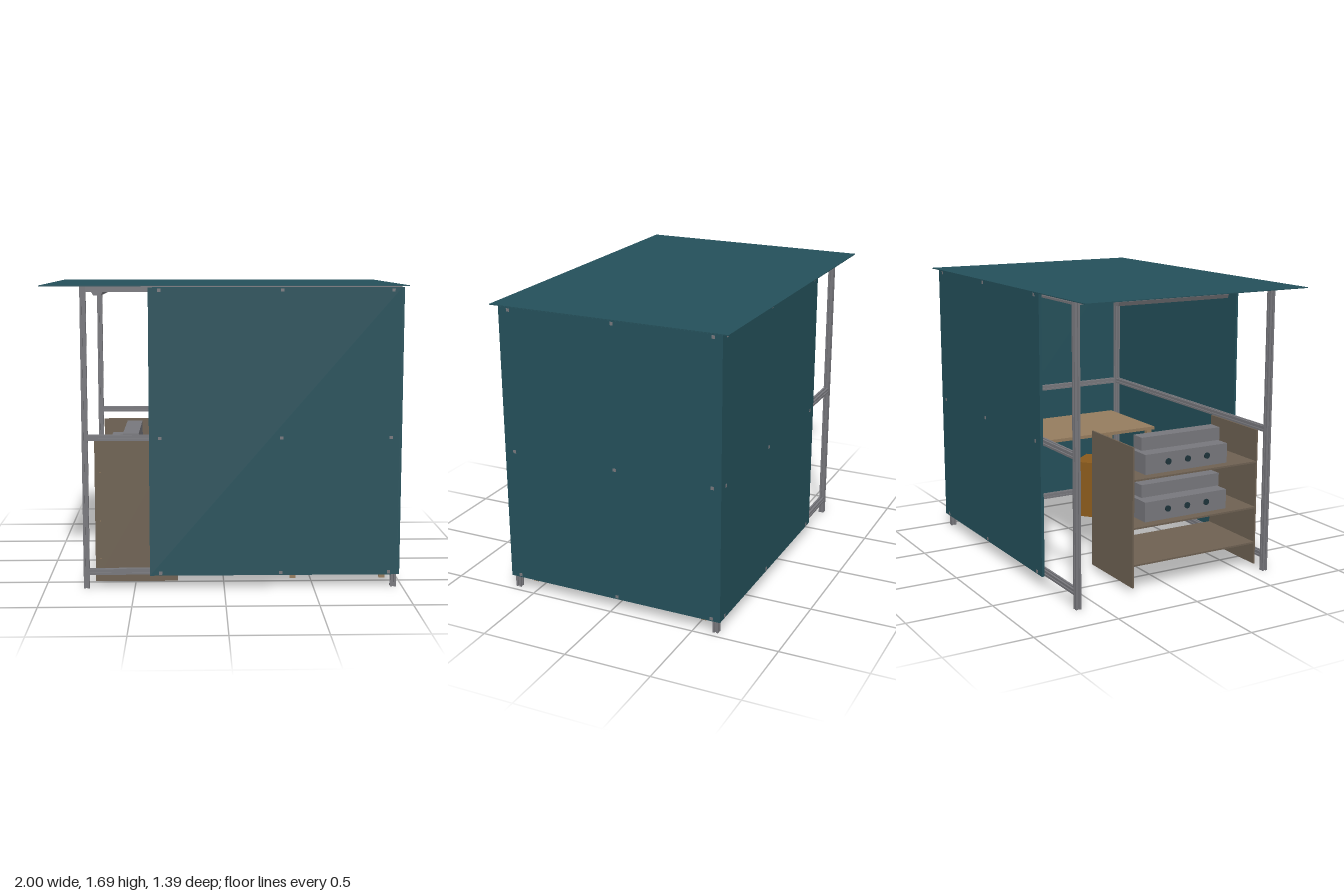
import * as THREE from 'three';

const mat = (name, color, side = THREE.FrontSide) => {
  const m = new THREE.MeshStandardMaterial({ color, side });
  m.name = name;
  return m;
};

export function createModel() {
  const teal = mat('teal panel', 0x24505a);
  const metal = mat('frame grey', 0x77777c);
  const board = mat('cabinet brown', 0x6e6152);
  const wood = mat('table wood', 0x957c5e);
  const amber = mat('bin amber', 0x8a5a1c);
  const dark = mat('knob dark', 0x1d333a);
  const root = new THREE.Group();

  const group = (name, parent = root) => {
    const g = new THREE.Group();
    g.name = name;
    parent.add(g);
    return g;
  };
  const add = (name, geo, material, parent) => {
    const m = new THREE.Mesh(geo, material);
    m.name = name;
    parent.add(m);
    return m;
  };
  // Box given by its limits on each axis
  const box = (name, material, parent, x0, x1, y0, y1, z0, z1) => {
    const m = add(name, new THREE.BoxGeometry(x1 - x0, y1 - y0, z1 - z0), material, parent);
    m.position.set((x0 + x1) / 2, (y0 + y1) / 2, (z0 + z1) / 2);
    return m;
  };

  // Slotted square bar, extruded along z from its centre
  const W = 0.032, h = W / 2, s = 0.004, d = 0.008;
  const barShape = new THREE.Shape();
  const side = [[-h, -h], [-s, -h], [-s, -h + d], [s, -h + d], [s, -h]];
  const outline = [];
  for (let k = 0; k < 4; k++) {
    const c = Math.round(Math.cos(k * Math.PI / 2)), n = Math.round(Math.sin(k * Math.PI / 2));
    side.forEach(([x, y]) => outline.push(new THREE.Vector2(c * x - n * y, n * x + c * y)));
  }
  barShape.setFromPoints(outline);
  const bar = (name, axis, length, x, y, z, parent) => {
    const geo = new THREE.ExtrudeGeometry(barShape, { depth: length, bevelEnabled: false });
    geo.translate(0, 0, -length / 2);
    if (axis === 'x') geo.rotateY(Math.PI / 2);
    if (axis === 'y') geo.rotateX(Math.PI / 2);
    add(name, geo, metal, parent).position.set(x, y, z);
  };

  // Frame: four posts, three levels of rails, open on the -x side
  const frame = group('frame');
  const X0 = -0.769, X1 = 0.949, Z = 0.622, TOP = 1.682;
  const levels = [0.094, 0.85, TOP - h];
  for (const x of [X0, X1]) for (const z of [-Z, Z]) bar('post', 'y', TOP, x, TOP / 2, z, frame);
  levels.forEach((y, i) => {
    for (const z of [-Z, Z]) bar('longRail', 'x', X1 - X0 - W, (X0 + X1) / 2, y, z, frame);
    bar('sideRail', 'z', 2 * Z - W, X1, y, 0, frame);
    if (i === 2) bar('doorwayTopRail', 'z', 2 * Z - W, X0, y, 0, frame);
  });

  // Cladding and roof sheet
  const shell = group('shell');
  box('roof', teal, shell, -1, 1, TOP, TOP + 0.004, -0.695, 0.695);
  box('frontPanel', teal, shell, -0.415, 0.967, 0.075, 1.675, 0.639, 0.652);
  box('backPanel', teal, shell, -0.415, 0.967, 0.075, 1.675, -0.656, -0.639);
  box('sidePanel', teal, shell, 0.967, 0.98, 0.075, 1.675, -0.656, 0.652);

  // Fixing plates on the panels
  const fixings = group('fixings');
  const f = 0.009;
  for (const y of [0.09, 0.85, 1.66]) {
    for (const x of [-0.355, 0.315, 0.92]) {
      box('frontFixing', metal, fixings, x - f, x + f, y - f, y + f, 0.65, 0.654);
      box('backFixing', metal, fixings, x - f, x + f, y - f, y + f, -0.658, -0.654);
    }
    for (const z of [0.592, -0.033, -0.605]) {
      box('sideFixing', metal, fixings, 0.978, 0.982, y - f, y + f, z - f, z + f);
    }
  }

  // Shelf cabinet, open on both x sides
  const cabinet = group('cabinet');
  for (const z of [-0.242, 0.589]) {
    box('cabinetSide', board, cabinet, -0.72, -0.26, 0.03, 0.84, z - 0.005, z + 0.005);
  }
  const shelves = [0.16, 0.375, 0.65];
  for (const y of shelves) {
    box('shelf', board, cabinet, -0.72, -0.26, y - 0.005, y + 0.005, -0.237, 0.584);
    for (const x of [-0.69, -0.29]) {
      box('shelfScrew', wood, cabinet, x - 0.003, x + 0.003, y - 0.003, y + 0.003, 0.594, 0.596);
    }
  }

  // Instruments on the upper two shelves
  for (const y of shelves.slice(1)) {
    const unit = group('instrument');
    const b = y + 0.005;
    box('instrumentBody', metal, unit, -0.66, -0.48, b, b + 0.115, -0.13, 0.42);
    box('instrumentRearBar', metal, unit, -0.57, -0.48, b + 0.115, b + 0.19, -0.1, 0.43);
    for (const z of [0.02, 0.15, 0.28]) {
      const knob = add('knob', new THREE.CylinderGeometry(0.018, 0.018, 0.008, 16), dark, unit);
      knob.rotation.z = Math.PI / 2;
      knob.position.set(-0.663, b + 0.06, z);
    }
  }

  // Table
  const table = group('table');
  box('tableTop', wood, table, 0.36, 0.925, 0.625, 0.645, -0.56, 0.565);
  for (const x of [0.39, 0.897]) for (const z of [-0.53, 0.535]) {
    box('tableLeg', wood, table, x - 0.016, x + 0.016, 0.03, 0.625, z - 0.016, z + 0.016);
  }

  // Turned box under the table
  const bin = box('bin', amber, root, 0.52, 0.74, 0.03, 0.4, 0.168, 0.388);
  bin.rotation.y = -Math.PI / 4 - 0.1;

  // Ceiling lamp with a tapered section
  const section = new THREE.Shape([[-0.033, 0.016], [-0.033, 0.006], [-0.022, -0.016],
    [0.022, -0.016], [0.033, 0.006], [0.033, 0.016]].map(p => new THREE.Vector2(...p)));
  const lamp = add('ceilingLamp', new THREE.ExtrudeGeometry(section, { depth: 0.7, bevelEnabled: false }), metal, root);
  lamp.position.set(-0.712, 1.636, -0.35);
  for (const z of [-0.3, 0.3]) {
    box('lampHanger', metal, root, -0.752, -0.66, 1.652, TOP, z - 0.016, z + 0.016);
  }

  return root;
}
